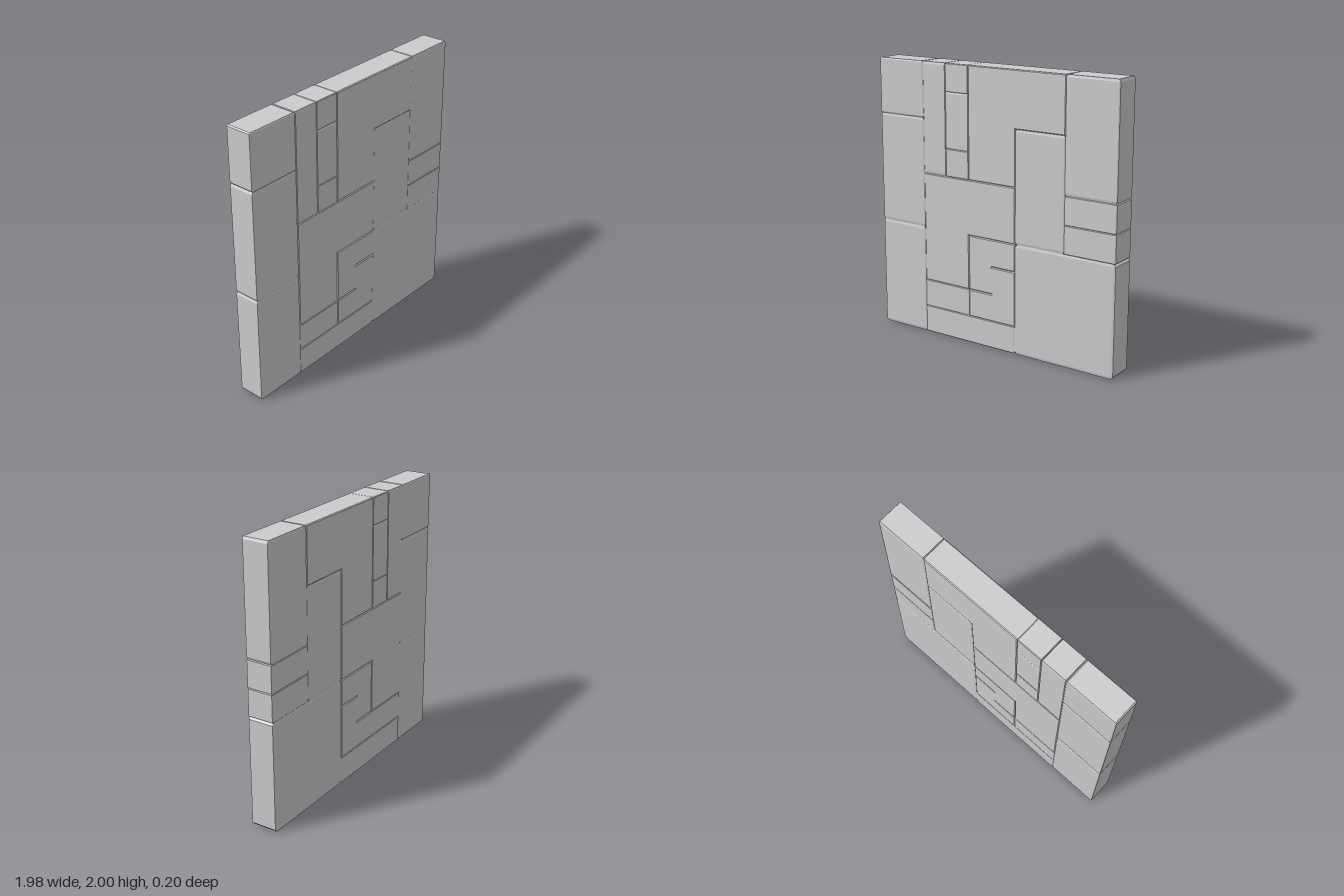
import * as THREE from 'three';
import { ConvexGeometry } from 'three/addons/geometries/ConvexGeometry.js';

const CX = 0.1976, CY = 0.2, DEPTH = 0.196; // cell width, cell height, slab thickness
const material = new THREE.MeshStandardMaterial({ color: 0xcccccc, flatShading: true });

// Unit box with all twelve edges chamfered
function chamferedUnitBox(c) {
  const points = [], h = 0.5, k = 0.5 - c;
  for (const x of [-1, 1]) for (const y of [-1, 1]) for (const z of [-1, 1]) {
    points.push(
      new THREE.Vector3(x * h, y * k, z * k),
      new THREE.Vector3(x * k, y * h, z * k),
      new THREE.Vector3(x * k, y * k, z * h));
  }
  return new ConvexGeometry(points);
}

// Stepped block from an outline in cell units, bevelled on both faces
function steppedBlock(cells) {
  const b = 0.006;
  const shape = new THREE.Shape(cells.map(([x, y]) => new THREE.Vector2(x * CX, y * CY)));
  const geometry = new THREE.ExtrudeGeometry(shape, {
    depth: DEPTH - 2 * b, bevelEnabled: true, bevelThickness: b,
    bevelSize: b, bevelOffset: -b, bevelSegments: 1,
  });
  return geometry.translate(0, 0, -DEPTH / 2 + b);
}

export function createModel() {
  const group = new THREE.Group();
  const add = (name, geometry) => {
    const mesh = new THREE.Mesh(geometry, material);
    mesh.name = name;
    group.add(mesh);
    return mesh;
  };

  // Rectangular blocks: name, then x0, x1, y0, y1 in cells
  const blocks = [
    ['outerColumnTop', -5, -3, 8, 10],
    ['outerColumnMiddle', -5, -3, 4, 8],
    ['outerColumnBottom', -5, -3, 0, 4],
    ['tallStrip', -3, -2, 6, 10],
    ['smallBlockTop', -2, -1, 9, 10],
    ['smallBlockMiddle', -2, -1, 7, 9],
    ['smallBlockBottom', -2, -1, 6, 7],
    ['centrePost', 1, 3, 4, 8],
    ['cornerBlockTop', 3, 5, 6, 10],
    ['edgeBlockUpper', 3, 5, 5, 6],
    ['edgeBlockLower', 3, 5, 4, 5],
    ['cornerBlockBottom', 1, 5, 0, 4],
    ['baseBlock', -3, 1, 0, 1],
    ['lowBlock', -3, -1, 1, 2],
  ];
  const box = chamferedUnitBox(0.022);
  for (const [name, x0, x1, y0, y1] of blocks) {
    const mesh = add(name, box);
    mesh.scale.set((x1 - x0) * CX, (y1 - y0) * CY, DEPTH);
    mesh.position.set((x0 + x1) / 2 * CX, (y0 + y1) / 2 * CY, 0);
  }

  // L-shaped blocks
  add('upperLBlock', steppedBlock([[-1, 6], [1, 6], [1, 8], [3, 8], [3, 10], [-1, 10]]));
  add('middleLBlock', steppedBlock([[-3, 2], [-1, 2], [-1, 4], [1, 4], [1, 6], [-3, 6]]));

  // S-shaped block with a narrow slit from either side
  const s = 0.008;
  add('sBlock', steppedBlock([
    [-1, 1], [1, 1], [1, 3 - s], [0, 3 - s], [0, 3 + s], [1, 3 + s],
    [1, 4], [-1, 4], [-1, 2 + s], [0, 2 + s], [0, 2 - s], [-1, 2 - s],
  ]));

  return group;
}
